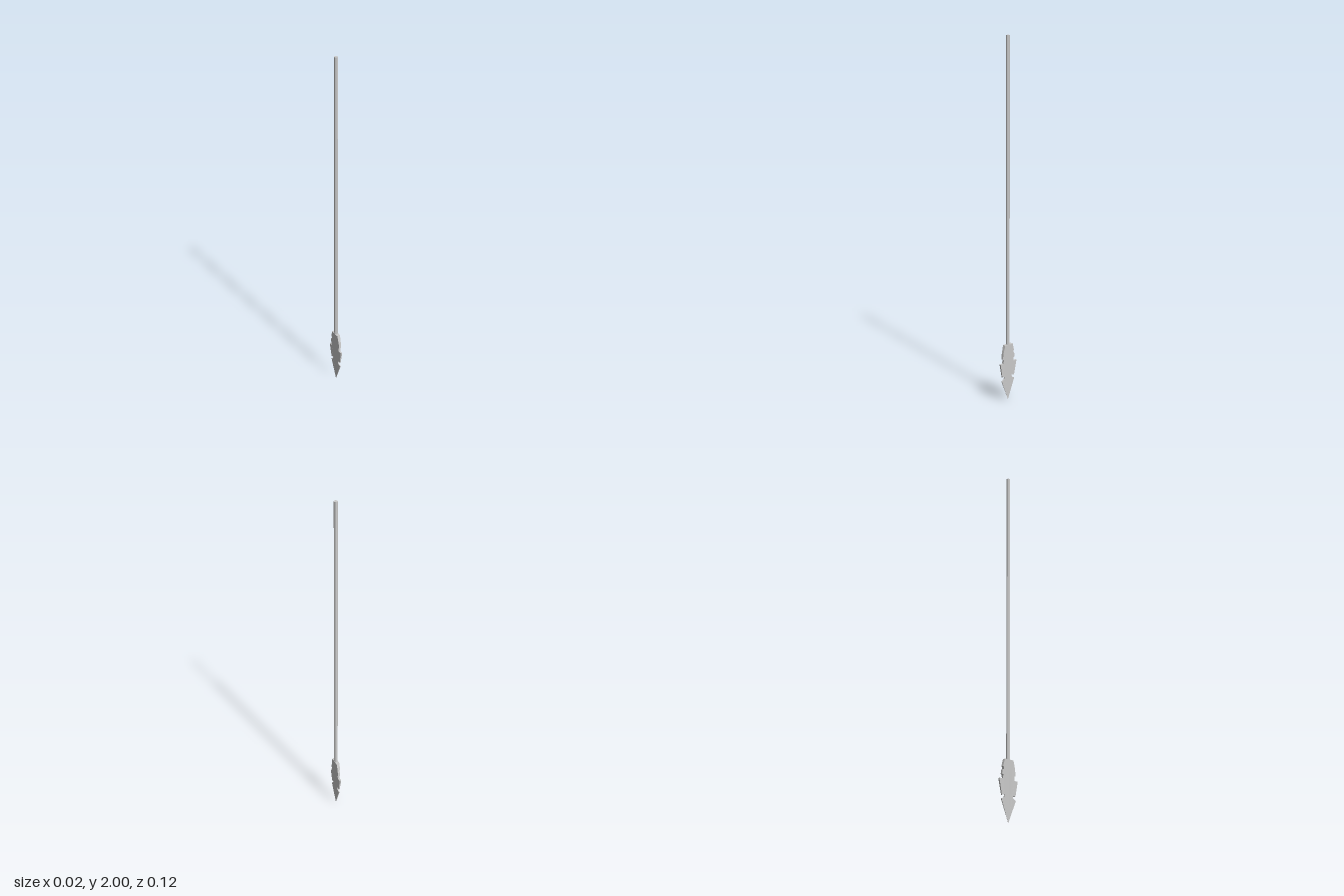
import * as THREE from 'three';

const BLADE_TOP = 0.327;

// Half of the notched blade as a (z, y) outline, thinned towards tip and edge
function bladeHalf(outline, side, material) {
  const shape = new THREE.Shape(outline.map(([z, y]) => new THREE.Vector2(z * side, y)));
  const geo = new THREE.ExtrudeGeometry(shape, { depth: 1, bevelEnabled: false });
  const p = geo.attributes.position;
  for (let i = 0; i < p.count; i++) {
    const z = p.getX(i), y = p.getY(i), face = p.getZ(i) > 0.5 ? -1 : 1;
    const half = 0.0107 * (y / BLADE_TOP) * (1 - 0.32 * Math.abs(z) / 0.058);
    p.setXYZ(i, face * half, y, z);
  }
  geo.computeVertexNormals();
  return new THREE.Mesh(geo, material);
}

export function createModel() {
  const model = new THREE.Group();
  const material = new THREE.MeshStandardMaterial({ color: 0xcccccc, flatShading: true });

  // Long eight-sided shaft
  const length = 2 - 0.3;
  const shaftGeo = new THREE.CylinderGeometry(0.0103, 0.0103, length, 8);
  shaftGeo.rotateY(Math.PI / 8);
  const shaft = new THREE.Mesh(shaftGeo, material);
  shaft.name = 'shaft';
  shaft.position.y = 0.3 + length / 2;
  model.add(shaft);

  // Chipped edges differ slightly from side to side
  const front = [
    [0, 0], [0.046, 0.12], [0.028, 0.13], [0.026, 0.143], [0.043, 0.143],
    [0.057, 0.222], [0.037, 0.222], [0.035, 0.245], [0.042, 0.248],
    [0.038, 0.283], [0.027, BLADE_TOP], [0, BLADE_TOP],
  ];
  const back = [
    [0, 0], [0.044, 0.12], [0.026, 0.128], [0.024, 0.143], [0.042, 0.138],
    [0.059, 0.222], [0.036, 0.222], [0.036, 0.243], [0.043, 0.246],
    [0.04, 0.27], [0.033, 0.272], [0.033, 0.284], [0.038, 0.286],
    [0.027, BLADE_TOP], [0, BLADE_TOP],
  ];
  const blade = new THREE.Group();
  blade.name = 'blade';
  const frontHalf = bladeHalf(front, 1, material);
  frontHalf.name = 'bladeFrontHalf';
  const backHalf = bladeHalf(back, -1, material);
  backHalf.name = 'bladeBackHalf';
  blade.add(frontHalf, backHalf);
  model.add(blade);

  return model;
}
